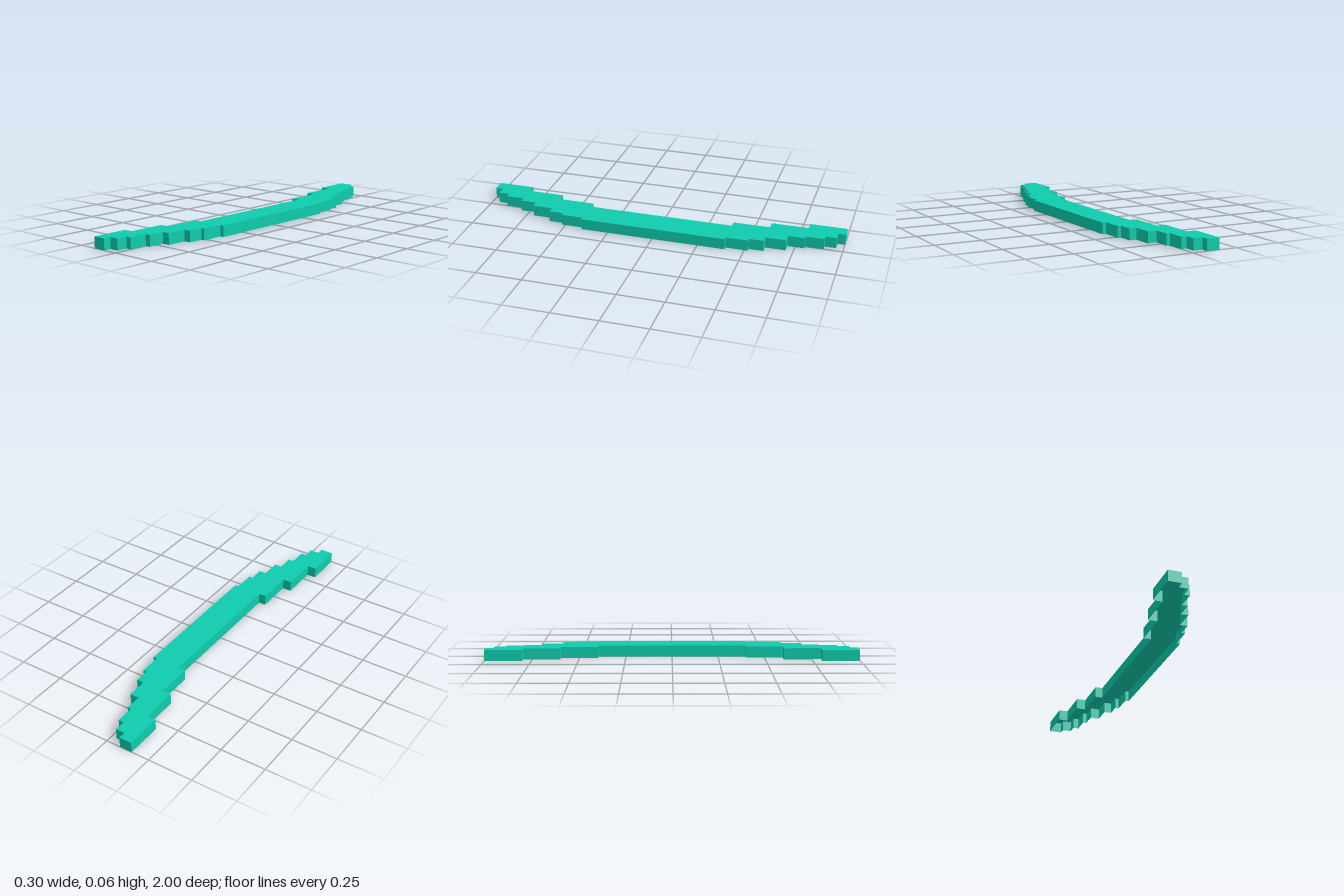
import * as THREE from 'three';

const HEIGHT = 0.06;

// Steps as [x, z where the step begins, z where it ends], from the middle outwards
const outerSteps = [
  [0.15, 0, 0.4], [0.13, 0.4, 0.52], [0.11, 0.52, 0.6], [0.07, 0.6, 0.71],
  [0.03, 0.71, 0.8], [0, 0.8, 0.9], [-0.03, 0.9, 0.96], [-0.08, 0.96, 1],
];
const innerSteps = [[-0.01, 0, 0.4], [-0.05, 0.4, 0.6], [-0.1, 0.6, 0.8], [-0.15, 0.8, 1]];

// Stepped edge from z = +1 to z = -1, mirrored about the middle
function steppedEdge(steps, backX = (x) => x) {
  const front = [...steps].reverse().flatMap(([x, a, b]) => (a === 0 ? [[x, b]] : [[x, b], [x, a]]));
  const back = steps.flatMap(([x, a, b]) =>
    a === 0 ? [[x, -b]] : [[backX(x), -a], [backX(x), -b]]);
  return [...front, ...back];
}

export function createModel() {
  const group = new THREE.Group();
  group.name = 'steppedArc';
  const teal = new THREE.MeshStandardMaterial({ color: 0x0fccae, side: THREE.DoubleSide });
  teal.name = 'teal';

  // Counter-clockwise outline seen from above; one back step is slightly shorter
  const outline = [
    ...steppedEdge(outerSteps, (x) => (x === 0.03 ? 0.02 : x)),
    ...steppedEdge(innerSteps).reverse(),
  ];

  // Flat top
  const shape = new THREE.Shape(outline.map(([x, z]) => new THREE.Vector2(x, -z)));
  const topGeometry = new THREE.ShapeGeometry(shape);
  topGeometry.rotateX(-Math.PI / 2).translate(0, HEIGHT, 0);
  const top = new THREE.Mesh(topGeometry, teal);
  top.name = 'topSurface';

  // Thin walls around the outline; the underside stays open
  const positions = [];
  outline.forEach(([ax, az], i) => {
    const [bx, bz] = outline[(i + 1) % outline.length];
    positions.push(
      ax, 0, az, bx, 0, bz, bx, HEIGHT, bz,
      ax, 0, az, bx, HEIGHT, bz, ax, HEIGHT, az,
    );
  });
  const wallGeometry = new THREE.BufferGeometry();
  wallGeometry.setAttribute('position', new THREE.Float32BufferAttribute(positions, 3));
  wallGeometry.computeVertexNormals();
  const walls = new THREE.Mesh(wallGeometry, teal);
  walls.name = 'sideWalls';

  group.add(top, walls);
  return group;
}
